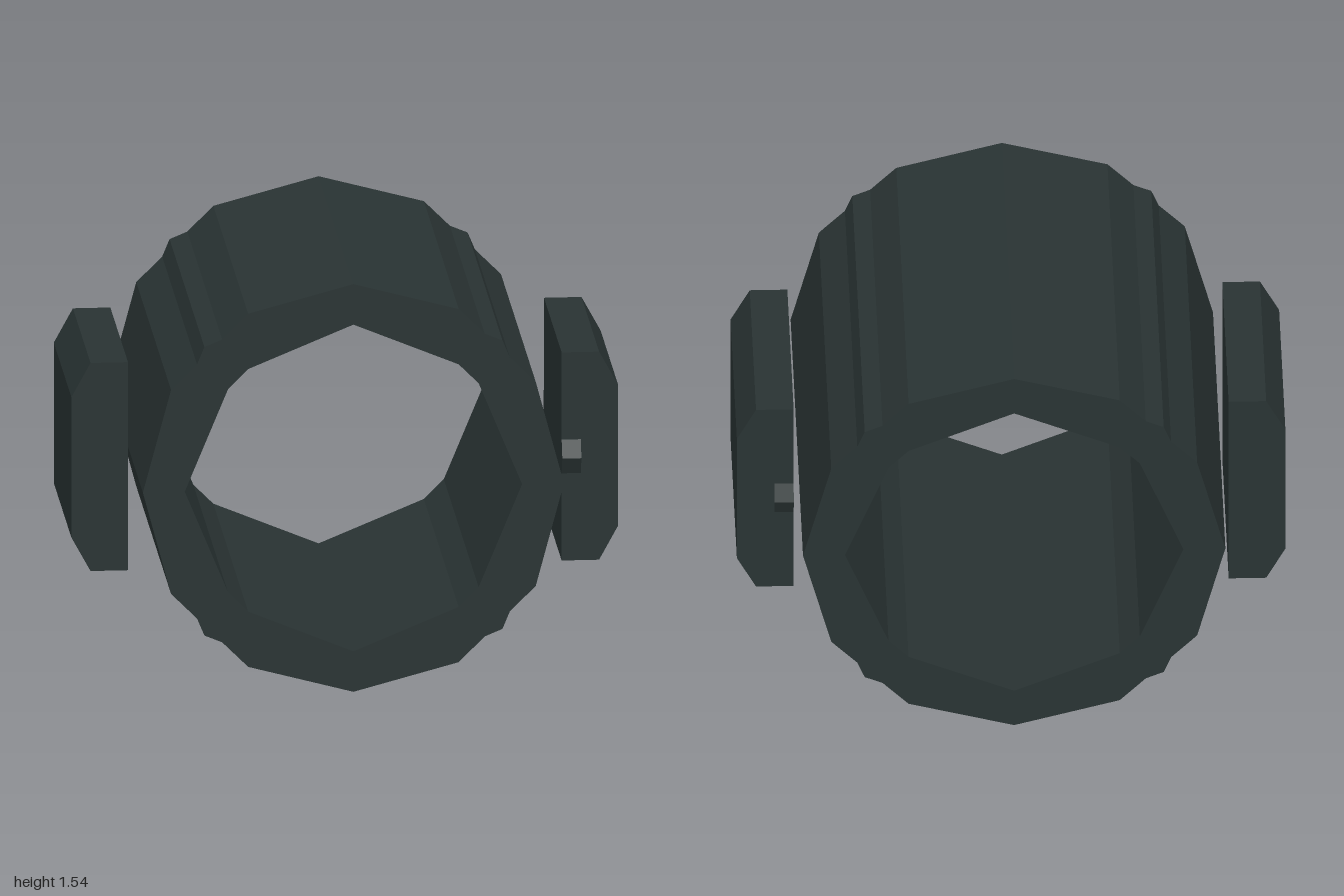
import * as THREE from 'three';

const CENTER_Y = 0.77;

// Mirrors a quarter profile (top to side) into a closed counter-clockwise outline
function mirrorQuarter(quarter) {
  const right = [...quarter, ...quarter.slice(0, -1).reverse().map(([x, y]) => [x, -y])];
  const left = right.slice(1, -1).reverse().map(([x, y]) => [-x, y]);
  return [...right, ...left].reverse().map(([x, y]) => new THREE.Vector2(x, y));
}

// Extrudes a shape along z, centred on z = 0
function extrudeCentered(shape, depth) {
  const geometry = new THREE.ExtrudeGeometry(shape, { depth, bevelEnabled: false });
  return geometry.translate(0, 0, -depth / 2);
}

export function createModel() {
  const group = new THREE.Group();
  const darkPlastic = new THREE.MeshStandardMaterial({ color: 0x293333 });
  darkPlastic.name = 'darkPlastic';

  function add(name, geometry) {
    const mesh = new THREE.Mesh(geometry, darkPlastic);
    mesh.name = name;
    mesh.position.y = CENTER_Y;
    group.add(mesh);
  }

  // Faceted tube with a small ridge on each diagonal
  const tube = new THREE.Shape(mirrorQuarter([
    [0, 0.77], [0.385, 0.667], [0.48, 0.572], [0.545, 0.545],
    [0.572, 0.48], [0.667, 0.385], [0.77, 0],
  ]));
  tube.holes.push(new THREE.Path(mirrorQuarter([
    [0, 0.617], [0.385, 0.458], [0.458, 0.385], [0.617, 0],
  ])));
  add('tube', extrudeCentered(tube, 1.5));

  // Chamfered side blocks
  for (const [name, s] of [['leftBlock', 1], ['rightBlock', -1]]) {
    const block = new THREE.Shape([
      [0.793, -0.393], [0.93, -0.393], [1, -0.265],
      [1, 0.265], [0.93, 0.393], [0.793, 0.393],
    ].map(([x, y]) => new THREE.Vector2(s * x, y)));
    add(name, extrudeCentered(block, 0.76));
  }

  // Small wedges on the front and back of the left block
  for (const [name, s] of [['frontWedge', 1], ['backWedge', -1]]) {
    const wedge = new THREE.Shape([
      [s * 0.37, -0.085], [s * 0.41, 0], [s * 0.37, 0.085],
    ].map(([z, y]) => new THREE.Vector2(-z, y)));
    const geometry = extrudeCentered(wedge, 0.07);
    geometry.rotateY(Math.PI / 2).translate(0.828, 0, 0);
    add(name, geometry);
  }

  return group;
}
